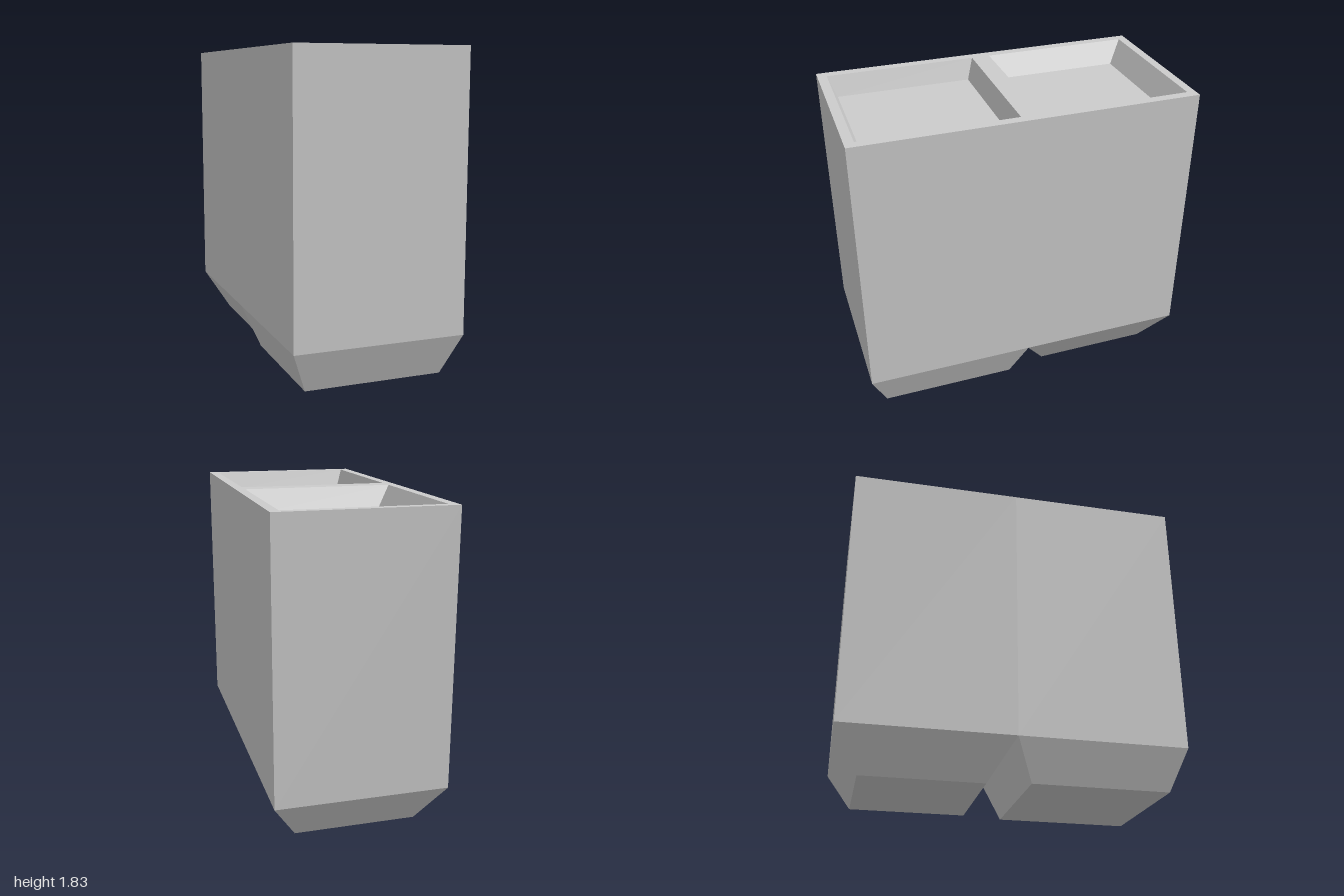
import * as THREE from 'three';

const HEIGHT = 1.83, SHOULDER = 0.24, FLOOR = 1.71;

// One compartment lofted through rectangular rings [halfWidth, zBack, zFront, y],
// from the foot up the walls, over the rim and down to the tray floor.
// Ring sides: 0 front, 1 left, 2 back, 3 right.
function loftBin(rings, sharedSide) {
  const corners = rings.map(([w, z0, z1, y]) => [
    [-w, y, z1], [w, y, z1], [w, y, z0], [-w, y, z0],
  ]);
  const positions = [];
  const quad = (a, b, c, d) => positions.push(...a, ...b, ...c, ...a, ...c, ...d);

  for (let r = 0; r < corners.length - 1; r++) {
    for (let i = 0; i < 4; i++) {
      // the upright wall between the two bins stays open inside
      if (r === 1 && i === sharedSide) continue;
      const j = (i + 1) % 4;
      quad(corners[r][i], corners[r][j], corners[r + 1][j], corners[r + 1][i]);
    }
  }
  quad(...[...corners[0]].reverse()); // foot underside
  quad(...corners[corners.length - 1]); // tray floor

  const geometry = new THREE.BufferGeometry();
  geometry.setAttribute('position', new THREE.Float32BufferAttribute(positions, 3));
  geometry.computeVertexNormals();
  return geometry;
}

export function createModel() {
  const group = new THREE.Group();
  group.name = 'doubleBin';
  const material = new THREE.MeshStandardMaterial({ color: 0xcccccc, flatShading: true });

  const bins = [
    {
      name: 'frontBin', sharedSide: 2, z: [0, 1],
      foot: [0.405, 0.095, 0.905], opening: [0.445, 0.05, 0.945], floor: [0.4, 0.092, 0.9],
    },
    {
      name: 'backBin', sharedSide: 0, z: [-1, 0],
      foot: [0.355, -0.855, -0.15], opening: [0.445, -0.95, -0.06], floor: [0.35, -0.853, -0.157],
    },
  ];

  for (const { name, sharedSide, z, foot, opening, floor } of bins) {
    const rings = [
      [...foot, 0],
      [0.5, ...z, SHOULDER],
      [0.5, ...z, HEIGHT],
      [...opening, HEIGHT],
      [...floor, FLOOR],
    ];
    const bin = new THREE.Mesh(loftBin(rings, sharedSide), material);
    bin.name = name;
    group.add(bin);
  }
  return group;
}
